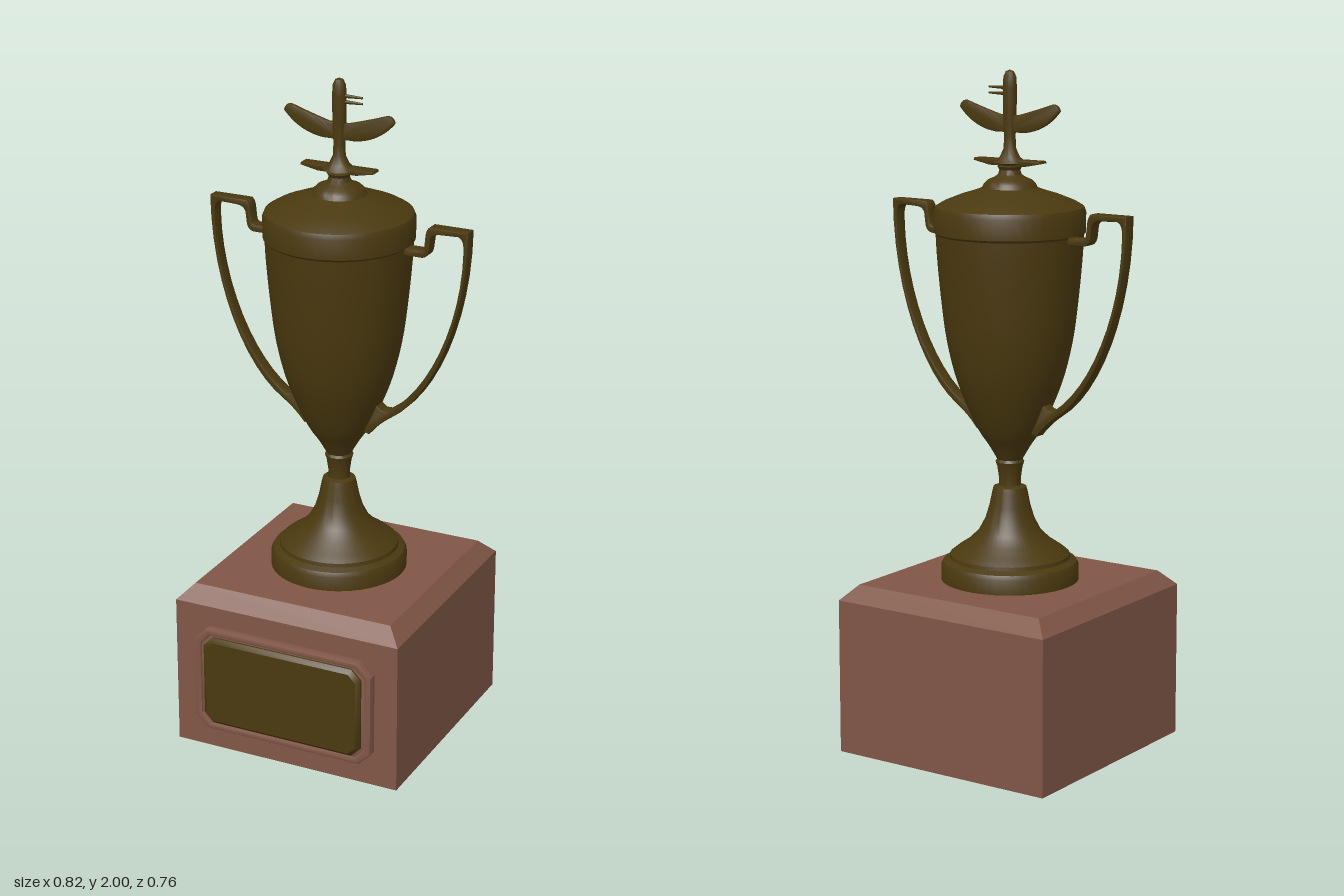
import * as THREE from 'three';
import { toCreasedNormals } from 'three/addons/utils/BufferGeometryUtils.js';

const gold = new THREE.MeshStandardMaterial({ color: 0x4a390f });
const wood = new THREE.MeshStandardMaterial({ color: 0x7f5646 });
const CZ = -0.02; // the cup stands slightly behind the middle

const vecs = (pts) => pts.map(([x, y]) => new THREE.Vector2(x, y));

function add(parent, name, geometry, material) {
  const mesh = new THREE.Mesh(geometry, material);
  mesh.name = name;
  parent.add(mesh);
  return mesh;
}

const lathe = (pts, segments = 48) =>
  toCreasedNormals(new THREE.LatheGeometry(vecs(pts), segments), 0.6);

// Outline extruded and centred on z = 0, with a soft bevel that stays inside the outline
function slab(shape, depth, bevel, bevelSegments = 2) {
  const g = new THREE.ExtrudeGeometry(shape, {
    depth: depth - 2 * bevel, bevelEnabled: true, bevelSize: bevel, bevelOffset: -bevel,
    bevelThickness: bevel, bevelSegments, curveSegments: 12,
  });
  g.translate(0, 0, -depth / 2 + bevel);
  return toCreasedNormals(g, 0.7);
}

// Rectangle with cut corners
function cutRect(w, h, c) {
  const x = w / 2, y = h / 2;
  return [[-x + c, -y], [x - c, -y], [x, -y + c], [x, y - c], [x - c, y], [-x + c, y], [-x, y - c], [-x, -y + c]];
}

function mirrored(parent, name, geometry, material) {
  add(parent, name + 'Left', geometry, material);
  add(parent, name + 'Right', geometry, material).rotation.y = Math.PI;
}

export function createModel() {
  const model = new THREE.Group();

  // Square plinth with a chamfered top
  const q = Math.SQRT2;
  const block = new THREE.LatheGeometry(
    vecs([[0, 0], [0.36 * q, 0], [0.36 * q, 0.462], [0.317 * q, 0.507], [0, 0.507]]), 4, Math.PI / 4);
  add(model, 'plinth', toCreasedNormals(block, 0.4), wood).position.z = CZ;

  // Plaque on the front: wooden frame with a metal plate
  const frameShape = new THREE.Shape(vecs(cutRect(0.576, 0.33, 0.04)));
  frameShape.holes.push(new THREE.Path(vecs(cutRect(0.53, 0.29, 0.03))));
  add(model, 'plaqueFrame', slab(frameShape, 0.04, 0.006), wood).position.set(0, 0.236, 0.347);
  add(model, 'plaqueBacking', slab(new THREE.Shape(vecs(cutRect(0.56, 0.31, 0.035))), 0.03, 0.004), wood)
    .position.set(0, 0.236, 0.345);
  add(model, 'plaquePlate', slab(new THREE.Shape(vecs(cutRect(0.512, 0.282, 0.03))), 0.05, 0.012, 1), gold)
    .position.set(0, 0.236, 0.353);

  const cup = new THREE.Group();
  cup.name = 'cup';
  cup.position.z = CZ;
  model.add(cup);

  // Foot and stem
  add(cup, 'foot', lathe([
    [0, 0.505], [0.203, 0.505], [0.203, 0.55], [0.196, 0.563], [0.178, 0.572], [0.176, 0.583],
    [0.155, 0.6], [0.122, 0.622], [0.092, 0.652], [0.072, 0.69], [0.06, 0.73], [0.052, 0.77],
    [0.048, 0.785], [0.033, 0.79], [0.032, 0.81], [0.037, 0.845], [0.042, 0.86], [0.036, 0.87],
  ]), gold);

  // Bowl, with a smooth curve up to the rim band
  const bowl = new THREE.SplineCurve(vecs([
    [0.036, 0.865], [0.062, 0.91], [0.092, 0.955], [0.127, 1.03], [0.16, 1.12], [0.185, 1.23],
    [0.2, 1.35], [0.21, 1.46], [0.214, 1.53],
  ])).getPoints(28).map((p) => [p.x, p.y]);
  add(cup, 'bowl', lathe([...bowl, [0.219, 1.536], [0.22, 1.595], [0.214, 1.61]]), gold);

  // Domed lid with a stepped knob
  add(cup, 'lid', lathe([
    [0.214, 1.61], [0.19, 1.624], [0.145, 1.642], [0.1, 1.656], [0.08, 1.664], [0.074, 1.676],
    [0.064, 1.686], [0.045, 1.694], [0.034, 1.702], [0.03, 1.715], [0.036, 1.725], [0, 1.728],
  ]), gold);

  // Handles: angular arm at the rim, long curve down to the bowl
  const handle = new THREE.Shape();
  handle.moveTo(0.2, 1.515);
  handle.lineTo(0.265, 1.515);
  handle.quadraticCurveTo(0.285, 1.517, 0.289, 1.54);
  handle.lineTo(0.293, 1.572);
  handle.quadraticCurveTo(0.297, 1.588, 0.32, 1.59);
  handle.lineTo(0.375, 1.592);
  handle.quadraticCurveTo(0.394, 1.588, 0.393, 1.55);
  handle.bezierCurveTo(0.39, 1.33, 0.29, 1.11, 0.165, 1.03);
  handle.lineTo(0.145, 1.03);
  handle.lineTo(0.12, 1.05);
  handle.lineTo(0.08, 0.955);
  handle.lineTo(0.105, 0.948);
  handle.quadraticCurveTo(0.135, 0.985, 0.175, 1.012);
  handle.bezierCurveTo(0.3, 1.09, 0.407, 1.33, 0.408, 1.608);
  handle.lineTo(0.29, 1.608);
  handle.quadraticCurveTo(0.278, 1.602, 0.276, 1.575);
  handle.lineTo(0.273, 1.548);
  handle.quadraticCurveTo(0.272, 1.536, 0.255, 1.536);
  handle.lineTo(0.2, 1.536);
  mirrored(cup, 'handle', slab(handle, 0.042, 0.004), gold);

  // Winged finial
  const finial = new THREE.Group();
  finial.name = 'finial';
  cup.add(finial);
  const body = lathe([
    [0, 1.722], [0.05, 1.735], [0.03, 1.752], [0.019, 1.775], [0.017, 1.81], [0.02, 1.87],
    [0.021, 1.95], [0.019, 1.98], [0.012, 1.995], [0, 2],
  ], 20);
  add(finial, 'body', body.scale(1, 1, 0.9), gold);

  const wing = new THREE.Shape();
  wing.moveTo(0, 1.822);
  wing.lineTo(0.05, 1.822);
  wing.quadraticCurveTo(0.125, 1.83, 0.173, 1.888);
  wing.quadraticCurveTo(0.168, 1.908, 0.15, 1.908);
  wing.quadraticCurveTo(0.08, 1.885, 0.03, 1.872);
  wing.lineTo(0, 1.872);
  mirrored(finial, 'wing', slab(wing, 0.014, 0.005), gold);

  // Thin cross plate under the body, tapering to its tips
  const plate = new THREE.Shape(vecs([
    [-0.115, 1.738], [-0.06, 1.727], [0.06, 1.727], [0.115, 1.738], [0.113, 1.745], [-0.113, 1.745],
  ]));
  add(finial, 'crossPlate', slab(plate, 0.038, 0.002), gold);

  // Two small prongs beside the head
  for (const y of [1.932, 1.949]) {
    const prong = add(finial, 'prong', new THREE.CylinderGeometry(0.003, 0.006, 0.06, 10), gold);
    prong.rotation.z = -Math.PI / 2;
    prong.position.set(0.042, y, 0);
  }
  return model;
}
